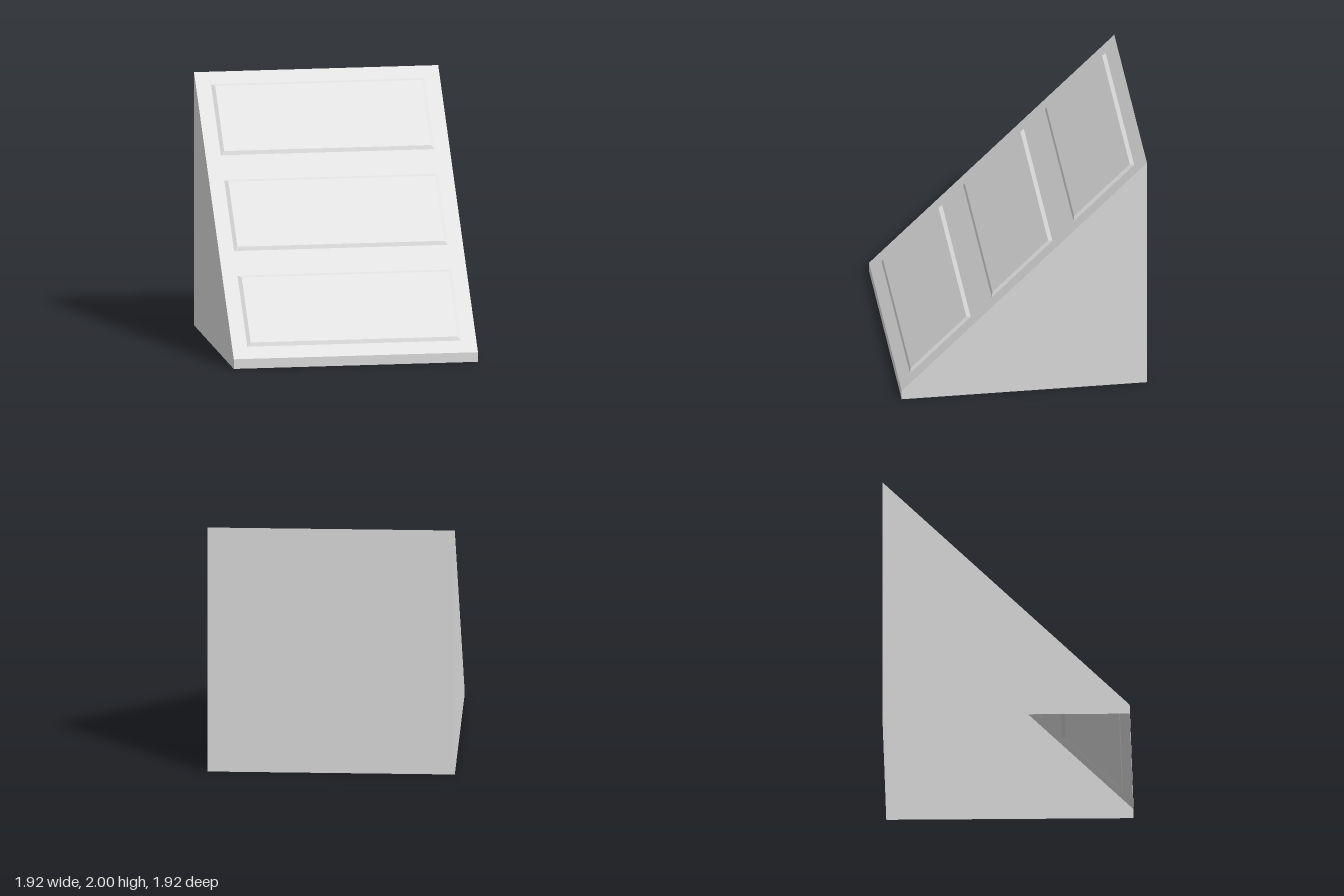
import * as THREE from 'three';

const HALF = 0.962;      // half width and half depth
const LIP = 0.076;       // height of the front lip
const TOP = 2;
const SLOPE = Math.hypot(TOP - LIP, 2 * HALF);

const shell = new THREE.MeshStandardMaterial({ color: 0xe0e0e0, side: THREE.DoubleSide });
shell.name = 'pale grey';

// Flat-shaded surface from four-cornered faces, corners counter-clockwise
function quads(faces) {
  const pos = [];
  for (const [a, b, c, d] of faces) pos.push(...a, ...b, ...c, ...a, ...c, ...d);
  const g = new THREE.BufferGeometry();
  g.setAttribute('position', new THREE.Float32BufferAttribute(pos, 3));
  g.computeVertexNormals();
  return g;
}

function add(parent, name, geometry) {
  const m = new THREE.Mesh(geometry, shell);
  m.name = name;
  parent.add(m);
  return m;
}

const rect = (w, y0, y1, z) => [[-w, y0, z], [w, y0, z], [w, y1, z], [-w, y1, z]];

export function createModel() {
  const model = new THREE.Group();
  model.name = 'wedge';

  // Upright walls; the underside is open
  add(model, 'frontLip', quads([rect(HALF, 0, LIP, HALF)]));
  add(model, 'backWall', quads([rect(HALF, 0, TOP, -HALF).reverse()]));
  for (const s of [1, -1]) {
    const wall = [[s * HALF, 0, HALF], [s * HALF, 0, -HALF], [s * HALF, TOP, -HALF], [s * HALF, LIP, HALF]];
    add(model, s > 0 ? 'leftWall' : 'rightWall', quads([s > 0 ? wall : wall.reverse()]));
  }

  // Sloping face, built flat (y runs up the slope) and then tilted back
  const slope = new THREE.Group();
  slope.name = 'slopingFace';
  slope.position.set(0, LIP, HALF);
  slope.rotation.x = -Math.atan2(2 * HALF, TOP - LIP);
  model.add(slope);

  const sheet = new THREE.Shape(rect(HALF, 0, SLOPE, 0).map(([x, y]) => new THREE.Vector2(x, y)));
  const panelW = 0.842, panelH = 0.673, inset = 0.028, raise = 0.016;
  for (let i = 0; i < 3; i++) {
    const y0 = 0.115 + i * 0.907, y1 = y0 + panelH;
    const outer = rect(panelW, y0, y1, 0);
    const inner = rect(panelW - inset, y0 + inset, y1 - inset, raise);
    sheet.holes.push(new THREE.Path(outer.map(([x, y]) => new THREE.Vector2(x, y)).reverse()));
    // Raised panel with four bevelled edges
    const faces = [inner];
    for (let k = 0; k < 4; k++) {
      const n = (k + 1) % 4;
      faces.push([outer[k], outer[n], inner[n], inner[k]]);
    }
    add(slope, 'raisedPanel' + (i + 1), quads(faces));
  }
  add(slope, 'slopeSheet', new THREE.ShapeGeometry(sheet));

  return model;
}
